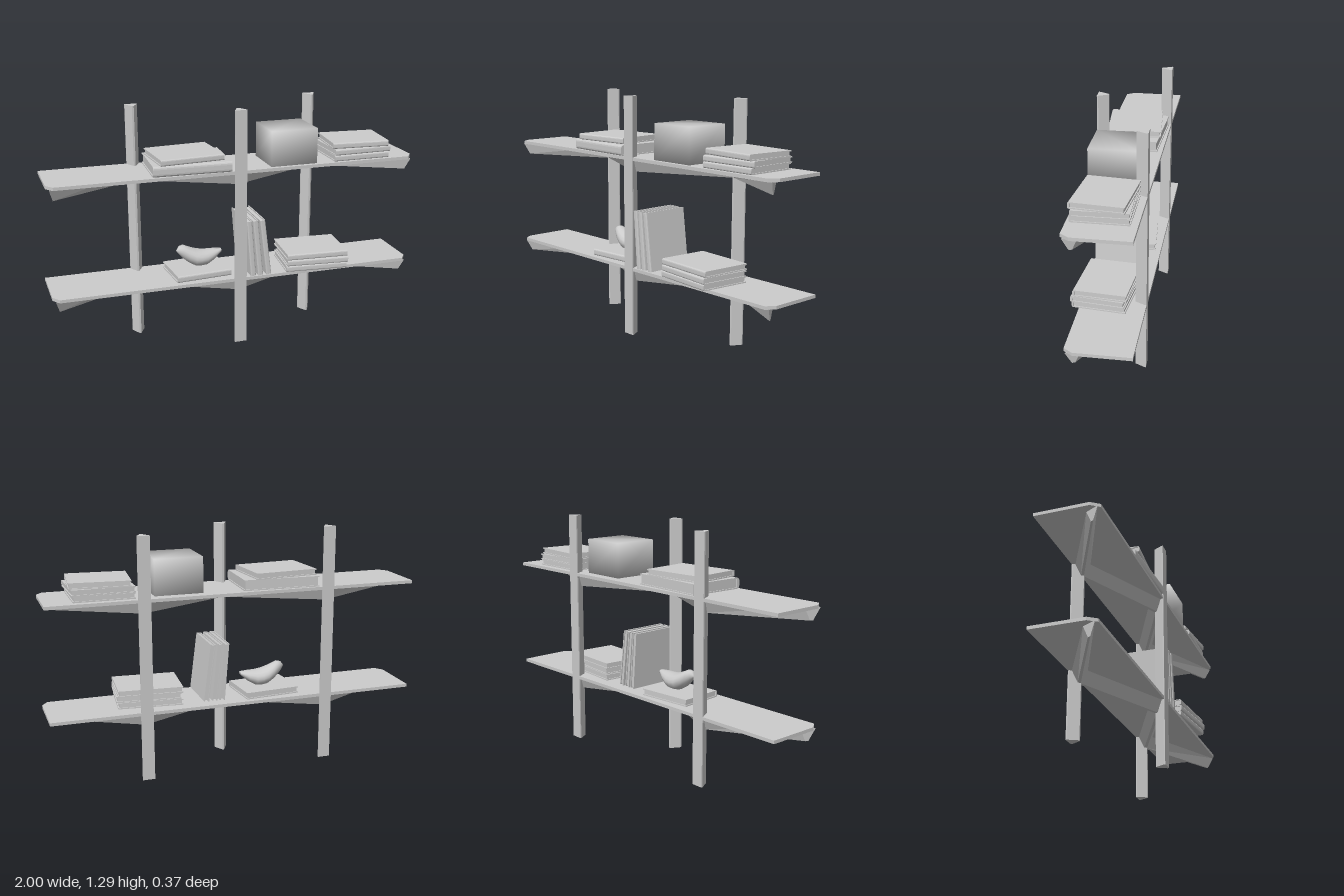
import * as THREE from 'three';
import { mergeVertices } from 'three/addons/utils/BufferGeometryUtils.js';

const material = new THREE.MeshStandardMaterial({ color: 0xcccccc, side: THREE.DoubleSide });

function addMesh(parent, name, geometry, x = 0, y = 0, z = 0) {
  const mesh = new THREE.Mesh(geometry, material);
  mesh.name = name;
  mesh.position.set(x, y, z);
  parent.add(mesh);
  return mesh;
}

// Extrudes an outline given as [x, z] pairs upwards by a height
function prism(outline, height) {
  const shape = new THREE.Shape(outline.map(([x, z]) => new THREE.Vector2(x, -z)));
  return new THREE.ExtrudeGeometry(shape, { depth: height, bevelEnabled: false }).rotateX(-Math.PI / 2);
}

// Skins rings of [x, y, z] points that follow one another along +x
function loft(rings, flat) {
  const n = rings[0].length, last = (rings.length - 1) * n, index = [];
  for (let r = 0; r < rings.length - 1; r++) {
    for (let i = 0; i < n; i++) {
      const a = r * n + i, b = r * n + (i + 1) % n;
      index.push(a, b, a + n, b, b + n, a + n);
    }
  }
  for (let i = 1; i < n - 1; i++) index.push(0, i + 1, i, last, last + i, last + i + 1);
  let g = new THREE.BufferGeometry();
  g.setAttribute('position', new THREE.Float32BufferAttribute(rings.flat(2), 3));
  g.setIndex(index);
  if (flat) g = g.toNonIndexed();
  g.computeVertexNormals();
  return g;
}

// Triangular upright with its ridge facing into the shelf
function addPost(parent, name, x, zOuter, inward) {
  const outline = [[-0.033, 0], [0.033, 0], [0.033, 0.007], [0.005, 0.059], [-0.005, 0.059], [-0.033, 0.007]];
  addMesh(parent, name, prism(outline.map(([px, pz]) => [px, pz * inward]), 1.29), x, 0, zOuter);
}

// Zigzag supporting beam, wide at the top and narrow below
function beamGeometry(yTop, yBottom) {
  const path = [[-0.968, 0.1], [-0.5, -0.138], [0, 0.1], [0.5, -0.138], [0.968, 0.1]];
  const rings = path.map(([x, z], i) => {
    const end = i === 0 ? -1 : i === 4 ? 1 : 0;
    const offset = (w, y, pull) => [x + end * (w * 0.45 - pull), y, z + w * (end ? 0.9 : 1.1)];
    return [offset(-0.04, yTop, 0), offset(0.04, yTop, 0), offset(0.008, yBottom, 0.005), offset(-0.008, yBottom, 0.005)];
  });
  return loft(rings, true);
}

// Plank with its front corners cut off, on its zigzag beam
function addShelf(parent, name, top) {
  const shelf = new THREE.Group();
  shelf.name = name;
  const outline = [[-1, -0.185], [1, -0.185], [1, 0.1], [0.967, 0.145], [-0.967, 0.145], [-1, 0.1]];
  addMesh(shelf, 'plank', prism(outline, 0.017), 0, top - 0.017, 0);
  addMesh(shelf, 'zigzagBeam', beamGeometry(top - 0.016, top - 0.08));
  parent.add(shelf);
}

// Book lying flat, spine towards +z, with pages set in between the covers
function addBook(parent, w, h, d, x, y, z, turn = 0, lean = null) {
  const book = new THREE.Group();
  book.name = 'book';
  const t = 0.006, r = h * 0.3, a = d / 2, b = h / 2;
  const s = new THREE.Shape();
  s.moveTo(-a, -b);
  s.lineTo(a - r, -b);
  s.quadraticCurveTo(a, -b, a, -b + r);
  s.lineTo(a, b - r);
  s.quadraticCurveTo(a, b, a - r, b);
  s.lineTo(-a, b);
  s.lineTo(-a, b - t);
  s.lineTo(a - r, b - t);
  s.lineTo(a - r, -b + t);
  s.lineTo(-a, -b + t);
  const cover = new THREE.ExtrudeGeometry(s, { depth: w, bevelEnabled: false, curveSegments: 4 });
  addMesh(book, 'cover', cover.rotateY(-Math.PI / 2).translate(w / 2, 0, 0));
  addMesh(book, 'pages', new THREE.BoxGeometry(w - 0.012, h - 2 * t, d - r - 0.006), 0, 0, (0.006 - r) / 2);
  book.position.set(x, y, z);
  book.rotation.y = turn;
  if (lean !== null) book.rotation.z = Math.PI / 2 + lean;
  parent.add(book);
}

export function createModel() {
  const model = new THREE.Group();
  model.name = 'shelvingUnit';
  const lower = 0.374, upper = 0.97;

  addPost(model, 'frontPost', 0, 0.148, -1);
  addPost(model, 'backPostRight', -0.5, -0.185, 1);
  addPost(model, 'backPostLeft', 0.5, -0.185, 1);
  addShelf(model, 'lowerShelf', lower);
  addShelf(model, 'upperShelf', upper);

  // Upper shelf: two stacks of books
  addBook(model, 0.415, 0.057, 0.312, -0.25, upper + 0.0285, -0.01, -0.04);
  addBook(model, 0.345, 0.033, 0.285, -0.264, upper + 0.0735, -0.012, 0.085);
  [[0.315, 0.28, 0.695, 0], [0.325, 0.275, 0.7, 0.02], [0.315, 0.265, 0.702, -0.09]].forEach(
    ([w, d, x, turn], i) => addBook(model, w, 0.032, d, x, upper + 0.016 + i * 0.032, -0.01, turn));

  // Softly shaded storage box
  let box = new THREE.BoxGeometry(0.258, 0.19, 0.25);
  box.deleteAttribute('normal');
  box.deleteAttribute('uv');
  box = mergeVertices(box);
  box.computeVertexNormals();
  addMesh(model, 'storageBox', box, 0.306, upper + 0.095, -0.003);

  // Lower shelf: leaning books, a stack and the book beneath the bird
  [[0.062, 0.08], [0.1, 0.1], [0.143, 0.125]].forEach(
    ([x, lean]) => addBook(model, 0.312, 0.029, 0.268, x, lower + 0.158, 0.01, 0, lean));
  [[0.448, 0.028, -0.1], [0.455, 0.033, -0.11], [0.45, 0.026, -0.08]].forEach(
    ([x, z, turn], i) => addBook(model, 0.343, 0.033, 0.275, x, lower + 0.0165 + i * 0.033, z, turn));
  addBook(model, 0.305, 0.036, 0.25, -0.198, lower + 0.018, -0.02, 0.08);

  // Bird figure: x, top, bottom and half width of each section
  const sections = [
    [-0.31, 0.509, 0.502, 0.003], [-0.295, 0.53, 0.482, 0.022], [-0.272, 0.536, 0.457, 0.036],
    [-0.245, 0.523, 0.434, 0.048], [-0.21, 0.508, 0.414, 0.06], [-0.18, 0.5, 0.41, 0.062],
    [-0.145, 0.496, 0.412, 0.056], [-0.105, 0.496, 0.435, 0.042], [-0.06, 0.494, 0.475, 0.018],
  ];
  const rings = sections.map(([x, top, bottom, half]) => Array.from({ length: 16 }, (_, i) => {
    const a = i / 16 * Math.PI * 2;
    return [x, (top + bottom) / 2 + (top - bottom) / 2 * Math.cos(a), half * Math.sin(a)];
  }));
  addMesh(model, 'birdFigure', loft(rings, false), 0, 0, -0.025);
  return model;
}
